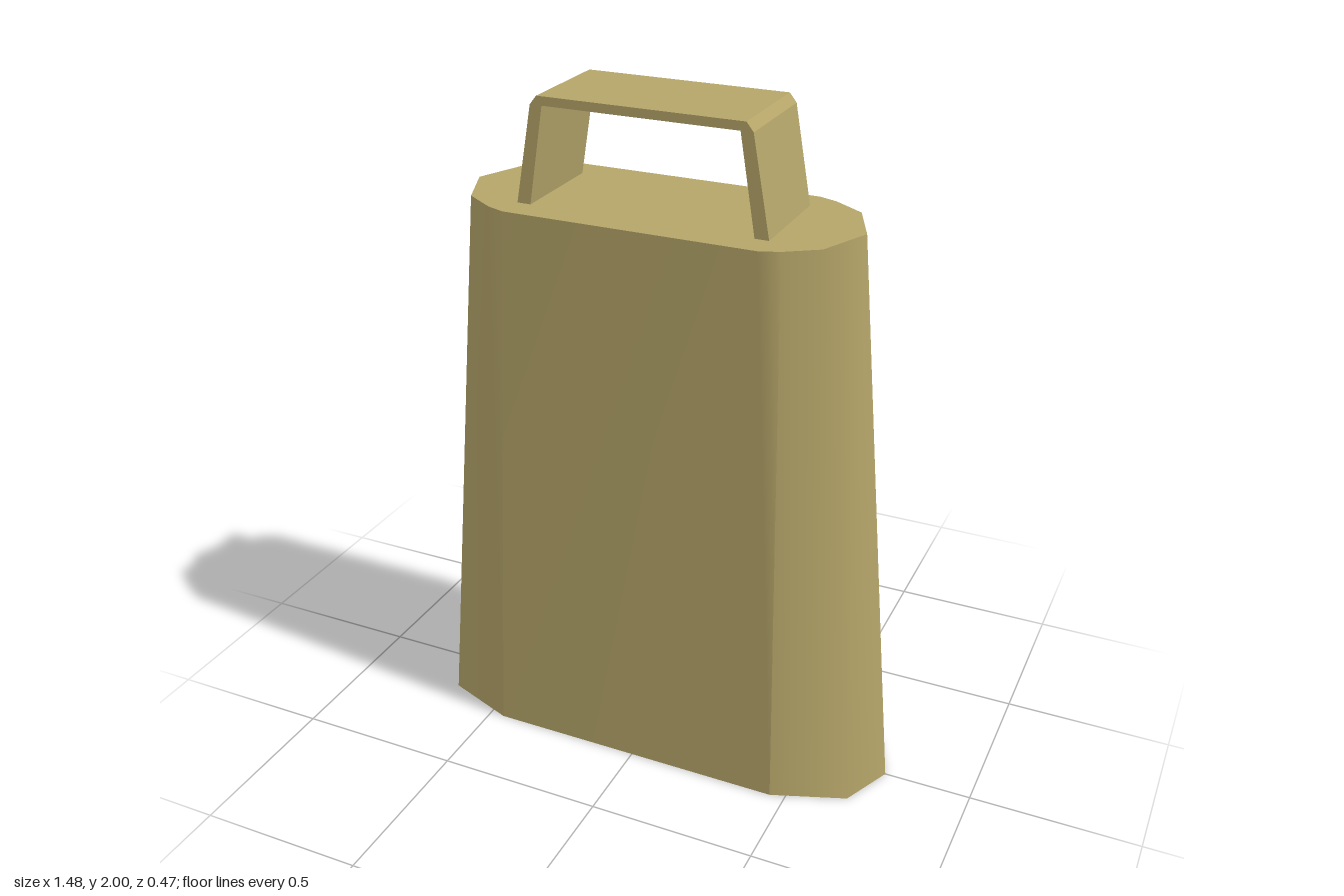
import * as THREE from 'three';

const brass = new THREE.MeshStandardMaterial({ color: 0xb5a569 });

// Quarter outlines (x, z) of the mouth and the crown, from the end to the flat face
const MOUTH = [[0.74, 0], [0.67, 0.155], [0.455, 0.235], [0.455, 0.235]];
const CROWN = [[0.575, 0], [0.51, 0.155], [0.42, 0.215], [0.365, 0.235]];

// Half ring running from +x through +z to -x
function halfRing(quarter, y, sx = 1, sz = 1) {
  const right = quarter.map(([x, z]) => new THREE.Vector3(x * sx, y, z * sz));
  const left = right.map((p) => new THREE.Vector3(-p.x, p.y, p.z)).reverse();
  return [...right, ...left];
}

// Surface between two half rings, smooth within the half
function loft(a, b) {
  const n = a.length;
  const index = [];
  for (let i = 0; i < n - 1; i++) {
    index.push(i, n + i, i + 1, i + 1, n + i, n + i + 1);
  }
  const geometry = new THREE.BufferGeometry().setFromPoints([...a, ...b]);
  geometry.setIndex(index);
  geometry.computeVertexNormals();
  return geometry;
}

function add(parent, name, geometry) {
  const mesh = new THREE.Mesh(geometry, brass);
  mesh.name = name;
  parent.add(mesh);
  return mesh;
}

export function createModel() {
  const model = new THREE.Group();
  model.name = 'cowbell';

  // Hollow body: two halves meeting in a sharp seam at each end
  const outerLow = halfRing(MOUTH, 0);
  const outerHigh = halfRing(CROWN, 1.7);
  const innerLow = halfRing(MOUTH, 0, 0.97, 0.91);
  const innerHigh = halfRing(CROWN, 1.675, 0.965, 0.91);
  const surfaces = {
    outerWall: loft(outerLow, outerHigh),
    innerWall: loft(innerHigh, innerLow),
    rim: loft(innerLow, outerLow),
    crown: loft(outerHigh, halfRing(CROWN, 1.7, 1, 0)),
    ceiling: loft(halfRing(CROWN, 1.675, 0.965, 0), innerHigh),
  };
  for (const [side, turn] of [['front', 0], ['back', Math.PI]]) {
    const half = new THREE.Group();
    half.name = side + 'Half';
    half.rotation.y = turn;
    for (const [name, geometry] of Object.entries(surfaces)) add(half, name, geometry);
    model.add(half);
  }

  // Strap handle with chamfered top corners
  const outer = [[0.365, 1.7], [0.315, 1.975], [0.295, 2]];
  const inner = [[0.28, 1.975], [0.325, 1.7]];
  const flip = (points) => points.map(([x, y]) => [-x, y]).reverse();
  const outline = [...outer, ...flip(outer), ...flip(inner), ...inner];
  const strap = new THREE.Shape(outline.map(([x, y]) => new THREE.Vector2(x, y)));
  const handle = new THREE.ExtrudeGeometry(strap, { depth: 0.306, bevelEnabled: false });
  handle.translate(0, 0, -0.153);
  add(model, 'handle', handle);

  // Oval clapper hanging inside
  const clapper = new THREE.Group();
  clapper.name = 'clapper';
  const weight = add(clapper, 'clapperWeight', new THREE.CylinderGeometry(1, 1, 0.12, 32));
  weight.scale.set(0.2, 1, 0.09);
  weight.position.y = 0.165;
  const rod = add(clapper, 'clapperRod', new THREE.CylinderGeometry(0.03, 0.03, 1.46, 16));
  rod.position.y = 0.95;
  model.add(clapper);

  return model;
}
